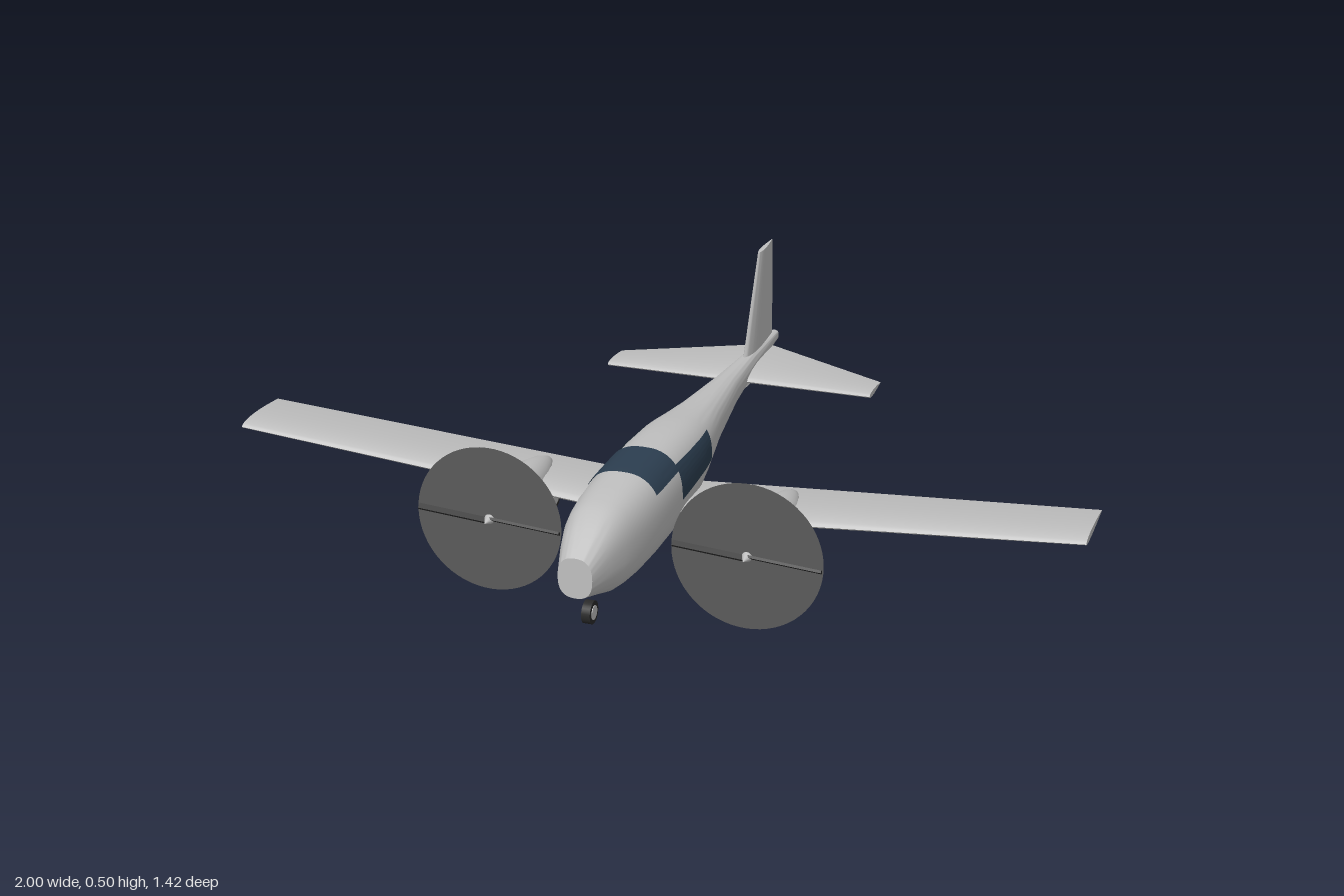
import * as THREE from 'three';
import { toCreasedNormals } from 'three/addons/utils/BufferGeometryUtils.js';

const mat = (name, color, side = THREE.FrontSide) => {
  const m = new THREE.MeshStandardMaterial({ color, side });
  m.name = name;
  return m;
};

// Skin a list of rings of [x, y, z]; closed rings get end caps
function loft(rings, closed = true) {
  const n = rings[0].length, pos = rings.flat(2), idx = [];
  for (let i = 0; i < rings.length - 1; i++) {
    for (let j = 0; j < (closed ? n : n - 1); j++) {
      const a = i * n + j, b = i * n + (j + 1) % n;
      idx.push(a, b, a + n, b, b + n, a + n);
    }
  }
  if (closed) {
    for (const [r, flip] of [[0, true], [rings.length - 1, false]]) {
      const c = pos.length / 3;
      for (let k = 0; k < 3; k++) pos.push(rings[r].reduce((s, p) => s + p[k], 0) / n);
      for (let j = 0; j < n; j++) {
        const a = r * n + j, b = r * n + (j + 1) % n;
        if (flip) idx.push(c, b, a); else idx.push(c, a, b);
      }
    }
  }
  const g = new THREE.BufferGeometry();
  g.setAttribute('position', new THREE.Float32BufferAttribute(pos, 3));
  g.setIndex(idx);
  return toCreasedNormals(g, 0.7);
}

// Fuselage stations: z, bottom, top, half width
const BODY = [
  [-0.712, 0.217, 0.244, 0.011], [-0.5, 0.205, 0.258, 0.02], [-0.3, 0.188, 0.27, 0.034],
  [-0.1, 0.163, 0.283, 0.057], [0, 0.143, 0.293, 0.072], [0.05, 0.13, 0.3, 0.079],
  [0.1, 0.118, 0.306, 0.084], [0.2, 0.102, 0.312, 0.088], [0.3, 0.095, 0.313, 0.09],
  [0.4, 0.094, 0.312, 0.09], [0.5, 0.095, 0.308, 0.085], [0.56, 0.099, 0.303, 0.078],
  [0.6, 0.105, 0.296, 0.071], [0.65, 0.122, 0.273, 0.058], [0.712, 0.141, 0.234, 0.039],
];
const POWER = 2.5;

function station(z) {
  let i = 0;
  while (i < BODY.length - 2 && z > BODY[i + 1][0]) i++;
  const f = (z - BODY[i][0]) / (BODY[i + 1][0] - BODY[i][0]);
  const [, lo, hi, w] = BODY[i].map((v, k) => v + (BODY[i + 1][k] - v) * f);
  return { cy: (lo + hi) / 2, h: (hi - lo) / 2, w };
}

// Point on the rounded-box section at angle t, pushed out by grow
function bodyPoint(z, t, grow = 0) {
  const { cy, h, w } = station(z);
  const p = v => Math.sign(v) * Math.abs(v) ** (2 / POWER);
  return [(w + grow) * p(Math.cos(t)), cy + (h + grow) * p(Math.sin(t)), z];
}

function angleAt(z, y) {
  const { cy, h } = station(z);
  const v = (y - cy) / h;
  return Math.asin(Math.sign(v) * Math.abs(v) ** (POWER / 2));
}

// Thin pane following the fuselage between two angles
function pane(z0, z1, range) {
  const rings = [];
  for (let i = 0; i <= 12; i++) {
    const z = z0 + (z1 - z0) * i / 12, [t0, t1] = range(z), ring = [];
    for (let j = 0; j <= 24; j++) ring.push(bodyPoint(z, t0 + (t1 - t0) * j / 24, 0.003));
    rings.push(ring);
  }
  return loft(rings, false);
}

// Airfoil surface; sections: x, leading z, trailing z, leading y, trailing y, thickness
function foil(sections, upper = 0.5) {
  const N = 14;
  return loft(sections.map(([x, le, te, yl, yt, t]) => {
    const pt = (u, s) => {
      const d = t * 5 * (0.2969 * Math.sqrt(u) - 0.126 * u - 0.3516 * u * u + 0.2843 * u ** 3 - 0.1015 * u ** 4);
      return [x, yl + (yt - yl) * u + 2 * d * s, le + (te - le) * u];
    };
    const us = Array.from({ length: N + 1 }, (_, i) => (1 - Math.cos(Math.PI * i / N)) / 2);
    return [...us.slice().reverse().map(u => pt(u, upper)), ...us.slice(1).map(u => pt(u, upper - 1))];
  }));
}

export function createModel() {
  const model = new THREE.Group();
  model.name = 'aeroplane';
  const skin = mat('skin grey', 0xc0c0c0);
  const glass = mat('window blue', 0x2c3e50, THREE.DoubleSide);
  const disc = mat('propeller disc grey', 0x5a5a5a, THREE.DoubleSide);
  const dark = mat('blade and tyre black', 0x2a2a2a);
  const add = (parent, name, geo, material, x = 0, y = 0, z = 0) => {
    const m = new THREE.Mesh(geo, material);
    m.name = name;
    m.position.set(x, y, z);
    parent.add(m);
    return m;
  };

  // Fuselage and windows
  const rings = BODY.map(([z]) =>
    Array.from({ length: 48 }, (_, j) => bodyPoint(z, j / 48 * Math.PI * 2)));
  add(model, 'fuselage', loft(rings), skin);
  add(model, 'windscreen', pane(0.283, 0.425, z => {
    const t = angleAt(z, 0.267);
    return [t, Math.PI - t];
  }), glass);
  const side = z => [angleAt(z, 0.2), angleAt(z, 0.271 + 0.04 * (z - 0.045))];
  add(model, 'leftWindow', pane(0.045, 0.285, side), glass);
  add(model, 'rightWindow', pane(0.045, 0.285, z => side(z).reverse().map(t => Math.PI - t)), glass);

  // Flying surfaces
  const tip = [0.297, 0.114, 0.234, 0.236, 0.018], root = [0.297, 0.04, 0.153, 0.136, 0.034];
  add(model, 'wing', foil([[-1, ...tip], [0, ...root], [1, ...tip]], 0.6), skin);
  const tailTip = [-0.393, -0.497, 0.222, 0.222, 0.014], tailRoot = [-0.393, -0.663, 0.222, 0.222, 0.026];
  add(model, 'tailplane', foil([[-0.34, ...tailTip], [0, ...tailRoot], [0.34, ...tailTip]]), skin);
  const fin = foil([[0.185, -0.42, -0.692, 0, 0, 0.022], [0.5, -0.566, -0.681, 0, 0, 0.012]]);
  add(model, 'fin', fin, skin).rotation.z = Math.PI / 2;

  // Wheels with pale hubs
  const wheel = (name, x, y, z, r) => {
    const g = new THREE.Group();
    g.name = name;
    g.position.set(x, y, z);
    g.rotation.z = Math.PI / 2;
    add(g, 'tyre', new THREE.CylinderGeometry(r, r, 0.02, 28), dark);
    add(g, 'hub', new THREE.CylinderGeometry(r * 0.62, r * 0.62, 0.023, 24), skin);
    model.add(g);
  };
  wheel('noseWheel', 0, 0.071, 0.63, 0.026);

  // Engines, propellers and main wheels
  const profile = [[0.0001, 0.1], [0.014, 0.12], [0.028, 0.155], [0.04, 0.205], [0.047, 0.26],
    [0.05, 0.31], [0.049, 0.36], [0.045, 0.41], [0.037, 0.435], [0.024, 0.45], [0.0001, 0.455]]
    .map(([r, z]) => new THREE.Vector2(r, z)).reverse();
  const nacelle = new THREE.LatheGeometry(profile.reverse(), 32).rotateX(Math.PI / 2);
  const spinner = new THREE.ConeGeometry(0.021, 0.05, 24).rotateX(Math.PI / 2);
  const blade = new THREE.BoxGeometry(0.165, 0.022, 0.006);
  for (const [s, label] of [[1, 'left'], [-1, 'right']]) {
    const g = new THREE.Group();
    g.name = label + 'Engine';
    g.position.set(0.3 * s, 0.173, 0);
    add(g, 'nacelle', nacelle, skin);
    add(g, 'spinner', spinner, skin, 0, 0, 0.468);
    add(g, 'propellerDisc', new THREE.CircleGeometry(0.172, 64), disc, 0, 0, 0.465);
    const prop = new THREE.Group();
    prop.name = 'propeller';
    prop.position.z = 0.465;
    prop.rotation.z = -0.07;
    for (const d of [1, -1]) add(prop, 'blade', blade, dark, 0.086 * d).rotation.x = 0.95 * d;
    g.add(prop);
    model.add(g);
    wheel(label + 'Wheel', 0.3 * s, 0.073, 0.095, 0.03);
  }
  return model;
}
